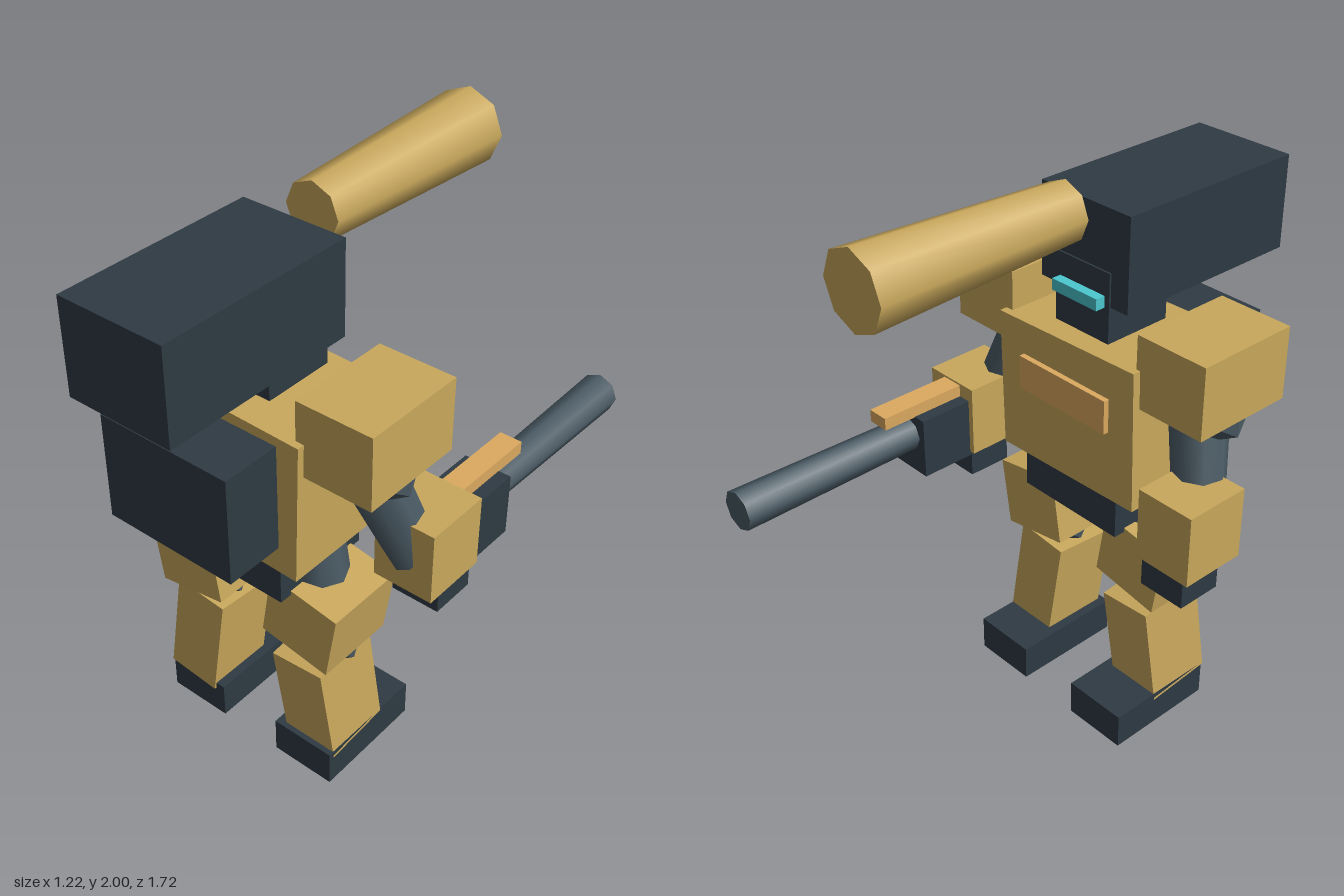
import * as THREE from 'three';

const mat = (color) => new THREE.MeshStandardMaterial({ color });

export function createModel() {
  const model = new THREE.Group();
  const armor = mat(0xc9a85c), frame = mat(0x2e3a43), joint = mat(0x4a5a64);
  const trim = mat(0xdcaa60), glow = mat(0x4cc8d0);

  const add = (parent, name, geometry, material) => {
    const mesh = new THREE.Mesh(geometry, material);
    mesh.name = name;
    parent.add(mesh);
    return mesh;
  };
  // box given by its extents on each axis
  const box = (parent, name, material, [x0, x1], [y0, y1], [z0, z1]) => {
    const m = add(parent, name, new THREE.BoxGeometry(x1 - x0, y1 - y0, z1 - z0), material);
    m.position.set((x0 + x1) / 2, (y0 + y1) / 2, (z0 + z1) / 2);
    return m;
  };
  // eight-sided tapered rod from a to b
  const rod = (parent, name, material, a, b, ra, rb) => {
    const p = new THREE.Vector3(...a), q = new THREE.Vector3(...b);
    const dir = q.clone().sub(p);
    const m = add(parent, name, new THREE.CylinderGeometry(rb, ra, dir.length(), 8), material);
    m.position.copy(p).add(q).multiplyScalar(0.5);
    m.quaternion.setFromUnitVectors(new THREE.Vector3(0, 1, 0), dir.normalize());
    return m;
  };
  const ball = (parent, name, x, y, z, r) => {
    const m = add(parent, name, new THREE.IcosahedronGeometry(r, 0), joint);
    m.position.set(x, y, z);
    m.rotation.y = Math.PI / 2;
  };

  // torso, slightly tilted
  const torso = box(model, 'torso', armor, [-0.303, 0.303], [0.935, 1.433], [0.075, 0.5]);
  torso.rotation.z = -0.03;
  box(model, 'chestPlate', trim, [-0.195, 0.195], [1.19, 1.31], [0.055, 0.505]);
  box(model, 'pelvis', frame, [-0.215, 0.215], [0.78, 0.95], [0.1, 0.48]);
  box(model, 'backpack', frame, [-0.243, 0.243], [1.04, 1.41], [0.515, 0.72]);

  // head and shoulder-level cannon
  box(model, 'head', frame, [-0.118, 0.118], [1.445, 1.685], [0.143, 0.4]);
  box(model, 'visor', glow, [-0.098, 0.098], [1.565, 1.605], [0.108, 0.16]);
  box(model, 'cannonHousing', frame, [-0.19, 0.19], [1.57, 1.89], [0.15, 0.86]);
  rod(model, 'cannonBarrel', armor, [0, 1.873, 0.07], [0, 1.873, -0.7], 0.098, 0.129);

  for (const s of [1, -1]) {
    const span = (a, b) => (s > 0 ? [a, b] : [-b, -a]);

    // arm
    const arm = new THREE.Group();
    arm.name = s > 0 ? 'leftArm' : 'rightArm';
    model.add(arm);
    box(arm, 'shoulder', armor, span(0.28, 0.55), [1.31, 1.56], [0.103, 0.475]);
    ball(arm, 'shoulderJoint', s * 0.42, 1.32, 0.285, 0.143);
    rod(arm, 'upperArm', joint, [s * 0.37, 1.32, 0.295], [s * 0.493, 0.945, 0.185], 0.1, 0.082);
    box(arm, 'forearm', armor, span(0.395, 0.61), [0.85, 1.105], [0.014, 0.253]);
    box(arm, 'hand', frame, span(0.415, 0.588), [0.75, 0.88], [0.02, 0.182]);

    // leg
    const leg = new THREE.Group();
    leg.name = s > 0 ? 'leftLeg' : 'rightLeg';
    model.add(leg);
    rod(leg, 'hipStrut', joint, [s * 0.187, 0.89, 0.287], [s * 0.245, 0.555, 0.287], 0.097, 0.097);
    const thigh = box(leg, 'thigh', armor, span(0.11, 0.376), [0.54, 0.79], [0.143, 0.435]);
    thigh.rotation.z = -s * 0.16;
    ball(leg, 'kneeJoint', s * 0.245, 0.553, 0.29, 0.126);
    const shin = box(leg, 'shin', armor, span(0.14, 0.343), [0.105, 0.485], [0.163, 0.413]);
    shin.rotation.set(s * 0.08, 0, s * 0.085);
    box(leg, 'foot', frame, span(0.12, 0.358), [0, 0.132], [0.002, 0.42]);
  }

  // gun held in the left hand
  const gun = new THREE.Group();
  gun.name = 'gun';
  model.add(gun);
  box(gun, 'gunBody', frame, [0.415, 0.585], [0.835, 1.055], [-0.183, 0.1]);
  rod(gun, 'gunBarrel', joint, [0.5, 0.975, -0.15], [0.5, 0.975, -0.86], 0.06, 0.07);
  box(gun, 'gunSight', trim, [0.46, 0.54], [1.053, 1.098], [-0.305, 0.015]);

  return model;
}
